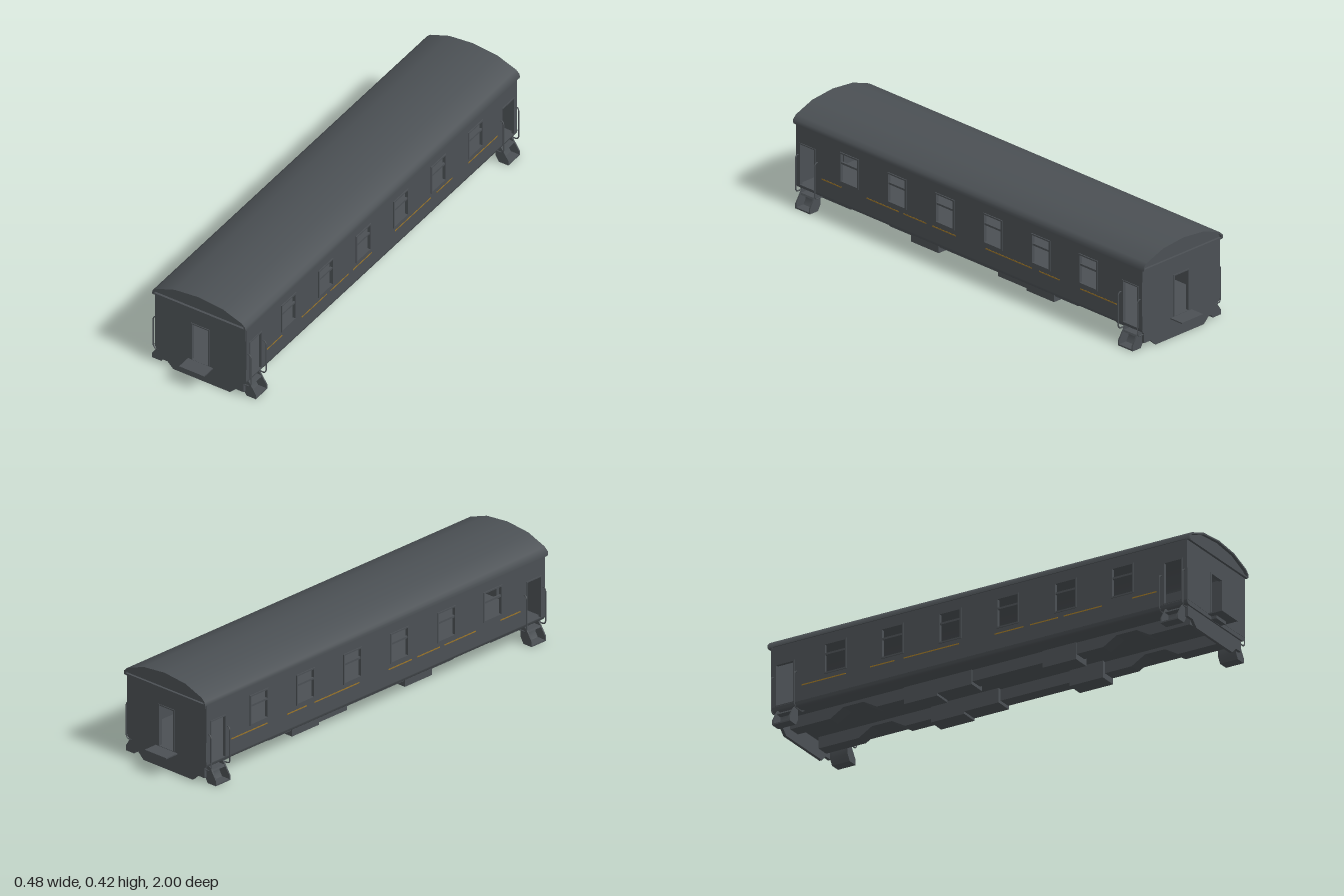
import * as THREE from 'three';
import { toCreasedNormals } from 'three/addons/utils/BufferGeometryUtils.js';

const paint = new THREE.MeshStandardMaterial({ color: 0x4b5054 });
paint.name = 'dark grey paint';
const gold = new THREE.MeshStandardMaterial({ color: 0x9a7428 });
gold.name = 'gold lining';

const polygon = (pts) => new THREE.Shape(pts.map(([a, b]) => new THREE.Vector2(a, b)));
const rect = (a0, b0, a1, b1) => [[a0, b0], [a1, b0], [a1, b1], [a0, b1]];

// Extrude an (x, y) shape along z from z0 to z1
function alongZ(shape, z0, z1) {
  const g = new THREE.ExtrudeGeometry(shape, { depth: z1 - z0, bevelEnabled: false, curveSegments: 6 });
  return toCreasedNormals(g.translate(0, 0, z0), 0.8);
}

// Extrude a (z, y) shape along x from x0 to x1
function alongX(shape, x0, x1) {
  const g = new THREE.ExtrudeGeometry(shape, { depth: x1 - x0, bevelEnabled: false });
  return g.rotateY(-Math.PI / 2).translate(x1, 0, 0);
}

export function createModel() {
  const root = new THREE.Group();
  root.name = 'passengerCarriage';

  const add = (name, geometry, material = paint) => {
    const mesh = new THREE.Mesh(geometry, material);
    mesh.name = name;
    root.add(mesh);
    return mesh;
  };
  const box = (name, x0, x1, y0, y1, z0, z1, material) =>
    add(name, new THREE.BoxGeometry(x1 - x0, y1 - y0, z1 - z0)
      .translate((x0 + x1) / 2, (y0 + y1) / 2, (z0 + z1) / 2), material);
  const sideX = (s, a, b) => (s > 0 ? [a, b] : [-b, -a]);

  // Floor with rounded lower edges
  const floor = new THREE.Shape();
  floor.moveTo(-0.21, 0.092);
  floor.quadraticCurveTo(-0.209, 0.073, -0.188, 0.073);
  floor.lineTo(0.188, 0.073);
  floor.quadraticCurveTo(0.209, 0.073, 0.21, 0.092);
  add('floor', alongZ(floor, -0.937, 0.937));

  // Curved roof shell
  const roofHalf = [[0.214, 0.345], [0.213, 0.36], [0.197, 0.375], [0.11, 0.407]];
  const inner = [[0.207, 0.345], [0.206, 0.357], [0.194, 0.368], [0.109, 0.4]];
  const mirror = (pts) => pts.map(([x, y]) => [-x, y]).reverse();
  add('roof', alongZ(polygon([...roofHalf, [0, 0.418], ...mirror(roofHalf),
    ...inner.map(([x, y]) => [-x, y]), [0, 0.411], ...mirror(inner).map(([x, y]) => [-x, y])]), -0.95, 0.95));

  // Openings in the side walls
  const windows = [-0.647, -0.39, -0.13, 0.13, 0.39, 0.647].map((z) => rect(z - 0.045, 0.182, z + 0.045, 0.298));
  const doors = [-0.874, 0.874].map((z) => rect(z - 0.038, 0.094, z + 0.038, 0.265));
  const frameShape = ([a, , c], t) => {
    const shape = polygon(rect(a[0] - t, a[1] - (t > 0.005 ? t : 0), c[0] + t, c[1] + t));
    shape.holes.push(polygon(rect(a[0], a[1] + 0.0005, c[0], c[1])));
    return shape;
  };

  // Gold lining pieces as [z start, z end]
  const lining = [[0.69, 0.8], [0.38, 0.555], [0.23, 0.355], [0.07, 0.2],
    [-0.34, -0.09], [-0.49, -0.38], [-0.8, -0.6]];

  // Underframe beam outline
  const beamHalf = [[0.51, 0.025], [0.57, 0.06], [0.66, 0.06], [0.72, 0.025], [0.9, 0.025], [0.9, 0.074]];
  const beam = polygon([...beamHalf, ...mirror(beamHalf)]);

  for (const s of [1, -1]) {
    const side = s > 0 ? 'left' : 'right';

    // Side wall with window and door openings
    const wall = polygon(rect(-0.937, 0.091, 0.937, 0.358));
    for (const o of [...windows, ...doors]) wall.holes.push(polygon(o));
    add(side + 'Wall', alongX(wall, ...sideX(s, 0.2, 0.21)));

    // Window frames and their crossbars
    for (const w of windows) {
      add(side + 'WindowFrame', alongX(frameShape(w, 0.006), ...sideX(s, 0.202, 0.214)));
      box(side + 'WindowBar', ...sideX(s, 0.203, 0.212), 0.255, 0.263, w[0][0], w[1][0]);
    }
    for (const d of doors) add(side + 'DoorFrame', alongX(frameShape(d, 0.005), ...sideX(s, 0.202, 0.213)));

    for (const [z0, z1] of lining) {
      box(side + 'Lining', ...sideX(s, 0.2095, 0.2108), 0.153, 0.158, z0, z1, gold);
    }

    // Underframe beam and equipment boxes
    add(side + 'UnderframeBeam', alongX(beam, ...sideX(s, 0.075, 0.13)));
    box(side + 'EquipmentBox', ...sideX(s, 0.06, 0.135), 0.002, 0.074, 0.24, 0.39);
    box(side + 'EquipmentBox', ...sideX(s, 0.06, 0.135), 0.012, 0.074, -0.235, -0.08);
    box(side + 'EquipmentBox', ...sideX(s, 0.06, 0.135), 0.002, 0.074, -0.385, -0.235);

    for (const e of [1, -1]) {
      const zc = 0.874 * e;

      // Boarding step: two cheeks, sloping back and tread
      const cheek = polygon([[0.18, 0.028], [0.195, 0.003], [0.238, 0.003], [0.238, 0.024], [0.215, 0.06], [0.205, 0.075], [0.18, 0.075]]
        .map(([x, y]) => [x * s, y]));
      for (const dz of [-0.04, 0.034]) add('stepCheek', alongZ(cheek, zc + dz, zc + dz + 0.006));
      const slab = polygon([[0.18, 0.028], [0.195, 0.003], [0.238, 0.003], [0.238, 0.009], [0.2, 0.009],
        [0.187, 0.03], [0.187, 0.055], [0.215, 0.055], [0.212, 0.062], [0.18, 0.062]].map(([x, y]) => [x * s, y]));
      add('stepTreads', alongZ(slab, zc - 0.036, zc + 0.036));

      // Handrails on both sides of the door, hooked under the floor
      for (const z of [0.822, 0.926]) {
        const path = new THREE.CurvePath();
        const pts = [[0.208, 0.217], [0.218, 0.217], [0.224, 0.208], [0.224, 0.074], [0.216, 0.064], [0.172, 0.064], [0.157, 0.073]]
          .map(([x, y]) => new THREE.Vector3(x * s, y, z * e));
        for (let i = 1; i < pts.length; i++) path.add(new THREE.LineCurve3(pts[i - 1], pts[i]));
        add('handrail', new THREE.TubeGeometry(path, 36, 0.0028, 6));
      }
    }
  }

  for (const e of [1, -1]) {
    const name = e > 0 ? 'front' : 'back';
    const span = (a, b) => (e > 0 ? [a, b] : [-b, -a]);

    // End wall reaching up under the roof, with a doorway
    const end = polygon([[-0.21, 0.091], [0.21, 0.091], ...inner, [0, 0.412], ...mirror(inner)]);
    const doorway = rect(-0.037, 0.095, 0.037, 0.265);
    end.holes.push(polygon(doorway));
    add(name + 'Wall', alongZ(end, ...span(0.926, 0.938)));
    add(name + 'DoorFrame', alongZ(frameShape(doorway, 0.005), ...span(0.927, 0.941)));
    box(name + 'Cornice', -0.213, 0.213, 0.342, 0.349, ...span(0.93, 0.948));

    // Headstock plate below the floor
    const half = [[0.13, 0.002], [0.157, 0.028], [0.193, 0.028], [0.193, 0.075]];
    add(name + 'Headstock', alongZ(polygon([...half, ...mirror(half)]), ...span(0.918, 0.93)));

    // Gangway bridge plate and its bracket
    box(name + 'GangwayPlate', -0.057, 0.057, 0.087, 0.092, ...span(0.935, 1.0));
    box(name + 'GangwayBracket', -0.034, 0.034, 0.074, 0.088, ...span(0.93, 0.96));
  }

  return root;
}
